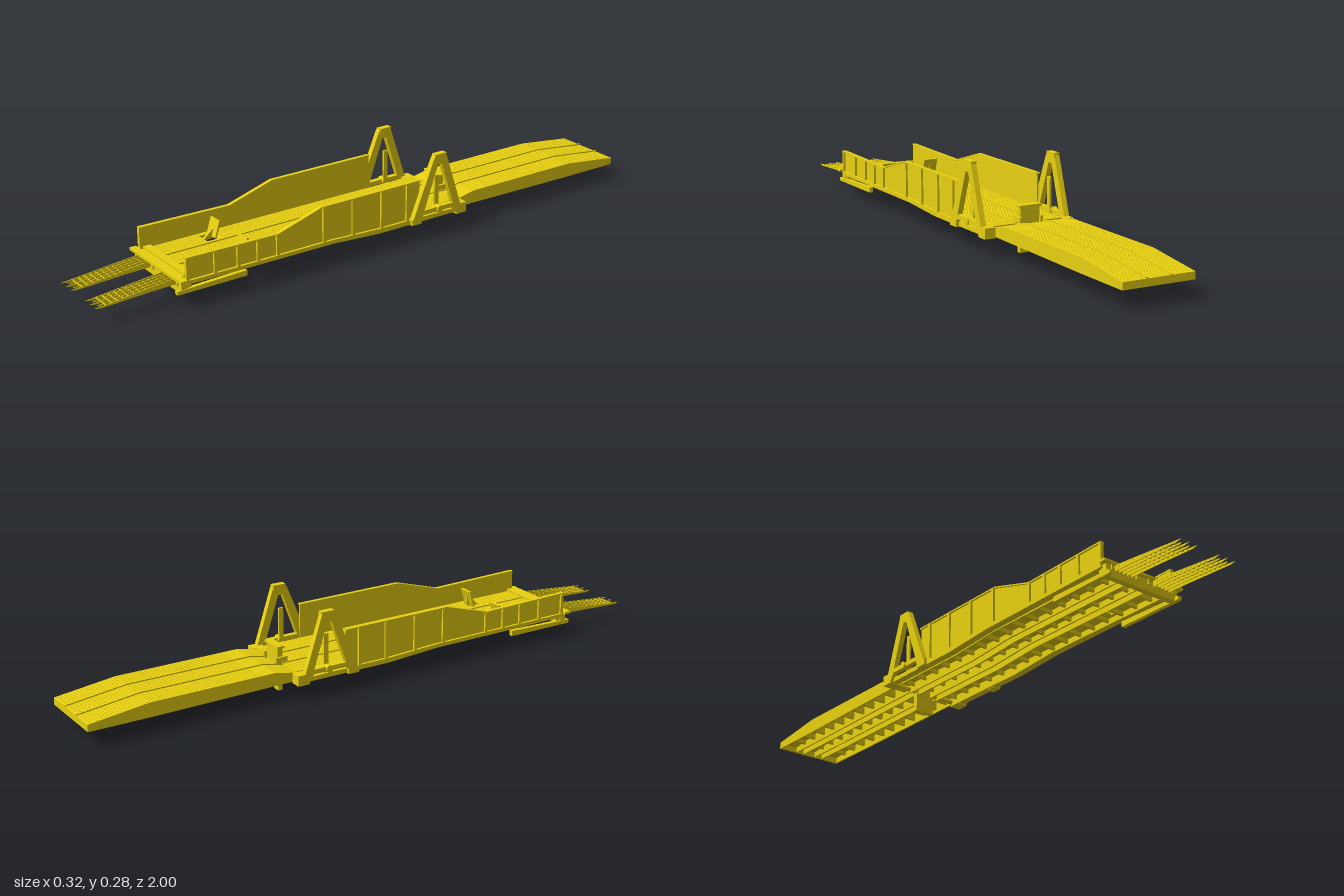
import * as THREE from 'three';
import { mergeGeometries } from 'three/addons/utils/BufferGeometryUtils.js';

const yellow = new THREE.MeshStandardMaterial({ color: 0xe8d010, side: THREE.DoubleSide, flatShading: true });

function add(parent, name, geo) {
  const mesh = new THREE.Mesh(geo, yellow);
  mesh.name = name;
  parent.add(mesh);
  return mesh;
}

// Box given by its limits on each axis
function span(x0, x1, y0, y1, z0, z1) {
  return new THREE.BoxGeometry(x1 - x0, y1 - y0, z1 - z0)
    .translate((x0 + x1) / 2, (y0 + y1) / 2, (z0 + z1) / 2);
}

// Side outline of [z, y] points, extruded across x from x0 to x1
function profile(points, x0, x1, hole) {
  const shape = new THREE.Shape(points.map(p => new THREE.Vector2(...p)));
  if (hole) shape.holes.push(new THREE.Path(hole.map(p => new THREE.Vector2(...p))));
  return new THREE.ExtrudeGeometry(shape, { depth: x1 - x0, bevelEnabled: false })
    .rotateY(-Math.PI / 2).translate(x1, 0, 0);
}

// Height of the rear ramp's surface
function rampTop(z) {
  if (z > -0.38) return THREE.MathUtils.mapLinear(z, -0.31, -0.38, 0.088, 0.102);
  if (z > -0.8) return 0.102;
  return THREE.MathUtils.mapLinear(z, -0.8, -1, 0.102, 0.078);
}

const inOpening = (x, z) => z > 0.48 && z < 0.54 && Math.abs(x) > 0.05;

// Small four-sided grip studs over three lanes
function tread(z0, z1, step, top) {
  const studs = [];
  let row = 0;
  for (let z = z0; z < z1; z += step, row++) {
    for (let i = -11; i <= 11; i++) {
      const x = i * 0.01 + (row % 2 ? 0.0025 : -0.0025);
      if (Math.abs(Math.abs(x) - 0.04) < 0.006 || inOpening(x, z)) continue;
      studs.push(new THREE.ConeGeometry(0.004, 0.003, 4, 1, true).translate(x, top(z) + 0.0013, z));
    }
  }
  return mergeGeometries(studs);
}

function mainDeck() {
  const deck = new THREE.Group();
  deck.name = 'mainDeck';
  // Deck plate with two rectangular openings
  const plate = new THREE.Shape([[-0.122, -0.31], [0.122, -0.31], [0.122, 0.74], [-0.122, 0.74]]
    .map(p => new THREE.Vector2(...p)));
  for (const s of [-1, 1]) {
    plate.holes.push(new THREE.Path([[0.055, 0.49], [0.105, 0.49], [0.105, 0.53], [0.055, 0.53]]
      .map(([x, z]) => new THREE.Vector2(s * x, z))));
  }
  add(deck, 'deckPlate', new THREE.ExtrudeGeometry(plate, { depth: 0.006, bevelEnabled: false })
    .rotateX(Math.PI / 2).translate(0, 0.092, 0));
  add(deck, 'deckTread', tread(-0.3, 0.69, 0.01, () => 0.092));
  // Girders and joists under the plate
  const girder = [[-0.31, 0.09], [-0.31, 0.056], [0.02, 0.056], [0.2, 0.068], [0.74, 0.066], [0.74, 0.09]];
  for (const x of [-0.122, -0.056, -0.026, 0.021, 0.051, 0.117]) {
    add(deck, 'girder', profile(girder, x, x + 0.005));
  }
  for (let z = -0.29; z < 0.72; z += 0.0625) {
    for (const [a, b] of [[-0.118, -0.052], [-0.022, 0.022], [0.052, 0.118]]) {
      add(deck, 'joist', span(a, b, 0.073, 0.087, z, z + 0.008));
    }
  }
  for (const x of [-0.04, 0.04]) add(deck, 'laneStrip', span(x - 0.003, x + 0.003, 0.092, 0.096, -0.31, 0.69));
  // Front sill and apron
  add(deck, 'frontSill', span(-0.122, 0.122, 0.09, 0.1, 0.69, 0.715));
  add(deck, 'frontCrossbar', span(-0.155, 0.155, 0.084, 0.092, 0.722, 0.745));
  add(deck, 'frontApron', new THREE.BoxGeometry(0.28, 0.038, 0.02).translate(0, 0.064, 0.725));
  return deck;
}

function rearRamp() {
  const ramp = new THREE.Group();
  ramp.name = 'rearRamp';
  const stations = [-0.31, -0.38, -0.8, -1];
  const top = stations.map(z => [z, rampTop(z)]);
  const under = stations.map(z => [z, rampTop(z) - 0.006]).reverse();
  add(ramp, 'rampPlate', profile([...top, ...under], -0.12, 0.12));
  add(ramp, 'rampTread', tread(-0.99, -0.43, 0.01, rampTop));
  const sides = [...top, [-1, 0.055], [-0.8, 0.055], [-0.31, 0.06]];
  for (const x of [-0.12, -0.056, -0.026, 0.021, 0.051, 0.115]) {
    add(ramp, 'rampGirder', profile(sides, x, x + 0.005));
  }
  const strip = [...stations.map(z => [z, rampTop(z) + 0.004]), ...under];
  for (const x of [-0.043, 0.037]) add(ramp, 'laneStrip', profile(strip, x, x + 0.006));
  for (let z = -0.94; z < -0.33; z += 0.06) {
    for (const [a, b] of [[-0.117, -0.052], [-0.022, 0.022], [0.052, 0.117]]) {
      add(ramp, 'rampJoist', span(a, b, 0.068, rampTop(z) - 0.005, z, z + 0.008));
    }
  }
  add(ramp, 'endBeam', span(-0.12, 0.12, 0.055, 0.077, -1, -0.992));
  return ramp;
}

// Side wall, A-frame, skid and entry fingers for one side; mirrored for the other
function sideParts(s) {
  const side = new THREE.Group();
  side.name = s > 0 ? 'leftSide' : 'rightSide';
  const mir = (name, geo) => {
    if (s < 0) {
      geo.scale(-1, 1, 1);
      if (!geo.index) geo.setIndex([...Array(geo.attributes.position.count).keys()]);
      geo.index.array.reverse();
      geo.computeVertexNormals();
    }
    return add(side, name, geo);
  };
  // Wall panel, its ledge and outer ribs
  const wall = [[0.72, 0.078], [0.72, 0.159], [0.4, 0.154], [0.24, 0.202], [-0.14, 0.202], [-0.14, 0.062], [0.02, 0.062], [0.2, 0.073]];
  mir('wallPanel', profile(wall, 0.134, 0.139));
  mir('wallLedge', profile([[0.72, 0.074], [0.72, 0.086], [0.2, 0.084], [0.02, 0.076], [-0.31, 0.074], [-0.31, 0.06], [0.02, 0.06], [0.2, 0.071]], 0.12, 0.147));
  mir('wallTopRail', profile([[0.72, 0.159], [0.4, 0.154], [0.24, 0.202], [-0.14, 0.202], [-0.14, 0.197], [0.241, 0.197], [0.401, 0.149], [0.72, 0.154]], 0.132, 0.145));
  for (const [z, top] of [[0.715, 0.157], [0.62, 0.155], [0.54, 0.154], [0.47, 0.153], [0.4, 0.152], [0.23, 0.2], [0.12, 0.2], [0.01, 0.2], [-0.09, 0.2]]) {
    mir('wallRib', span(0.138, 0.146, 0.075, top, z - 0.005, z + 0.005));
  }
  // A-frame with feet and pivot pin
  mir('aFrame', profile(
    [[-0.1, 0.065], [-0.185, 0.27], [-0.195, 0.28], [-0.225, 0.28], [-0.235, 0.27], [-0.305, 0.06], [-0.28, 0.06], [-0.265, 0.085], [-0.145, 0.085], [-0.13, 0.065]],
    0.139, 0.157,
    [[-0.148, 0.1], [-0.2, 0.245], [-0.216, 0.245], [-0.264, 0.1]]));
  mir('frameCap', span(0.137, 0.157, 0.262, 0.28, -0.234, -0.19));
  mir('frameBrace', span(0.133, 0.14, 0.065, 0.202, -0.218, -0.202));
  mir('footFront', span(0.13, 0.157, 0.058, 0.078, -0.138, -0.1));
  mir('footRear', span(0.12, 0.157, 0.056, 0.09, -0.32, -0.28));
  mir('pivotPin', new THREE.CylinderGeometry(0.012, 0.012, 0.03, 12).rotateZ(Math.PI / 2).translate(0.147, 0.092, -0.21));
  // Skid below the front corner
  mir('skid', profile([[0.51, 0.046], [0.75, 0.046], [0.75, 0.058], [0.51, 0.064]], 0.128, 0.142));
  mir('skidHanger', span(0.124, 0.136, 0.055, 0.08, 0.7, 0.735));
  // Raised flap standing over the deck opening
  mir('flap', new THREE.BoxGeometry(0.05, 0.056, 0.006).rotateX(-0.3).translate(0.08, 0.121, 0.49));
  mir('flapBracket', profile([[0.485, 0.09], [0.53, 0.09], [0.482, 0.13]], 0.076, 0.084));
  // Tapered entry fingers tied by thin cross rods
  for (let i = 0; i < 5; i++) {
    const x = 0.043 + i * 0.0155;
    mir('finger', profile([[0.73, 0.066], [0.73, 0.086], [0.8, 0.08], [1 - (i % 2) * 0.015, 0.061], [0.98, 0.057], [0.82, 0.064]], x, x + 0.002));
  }
  for (let i = 0; i < 12; i++) {
    const z = 0.755 + i * 0.019;
    const y = THREE.MathUtils.mapLinear(z, 0.75, 1, 0.077, 0.06);
    mir('fingerRod', span(0.041, 0.108, y - 0.0015, y + 0.0015, z - 0.0015, z + 0.0015));
  }
  return side;
}

function hingePost() {
  const post = new THREE.Group();
  post.name = 'hingePost';
  // Lower hook plate with a notch, upper box with an overhanging lid
  const hook = new THREE.Shape([[-0.032, 0], [-0.008, 0], [0, 0.006], [0.008, 0], [0.034, 0], [0.034, 0.06], [-0.032, 0.06]]
    .map(p => new THREE.Vector2(...p)));
  add(post, 'hookPlate', new THREE.ExtrudeGeometry(hook, { depth: 0.016, bevelEnabled: false }).translate(0, 0, -0.32));
  add(post, 'postBody', span(-0.033, 0.033, 0.055, 0.143, -0.321, -0.303));
  add(post, 'postLid', span(-0.04, 0.04, 0.141, 0.148, -0.325, -0.299));
  for (const x of [-0.036, 0.036]) add(post, 'postGusset', span(x - 0.004, x + 0.004, 0.085, 0.112, -0.33, -0.29));
  add(post, 'hingeShaft', new THREE.CylinderGeometry(0.008, 0.008, 0.26, 12).rotateZ(Math.PI / 2).translate(0, 0.07, -0.312));
  return post;
}

export function createModel() {
  const model = new THREE.Group();
  model.name = 'bridgeRamp';
  model.add(mainDeck(), rearRamp(), sideParts(1), sideParts(-1), hingePost());
  return model;
}
